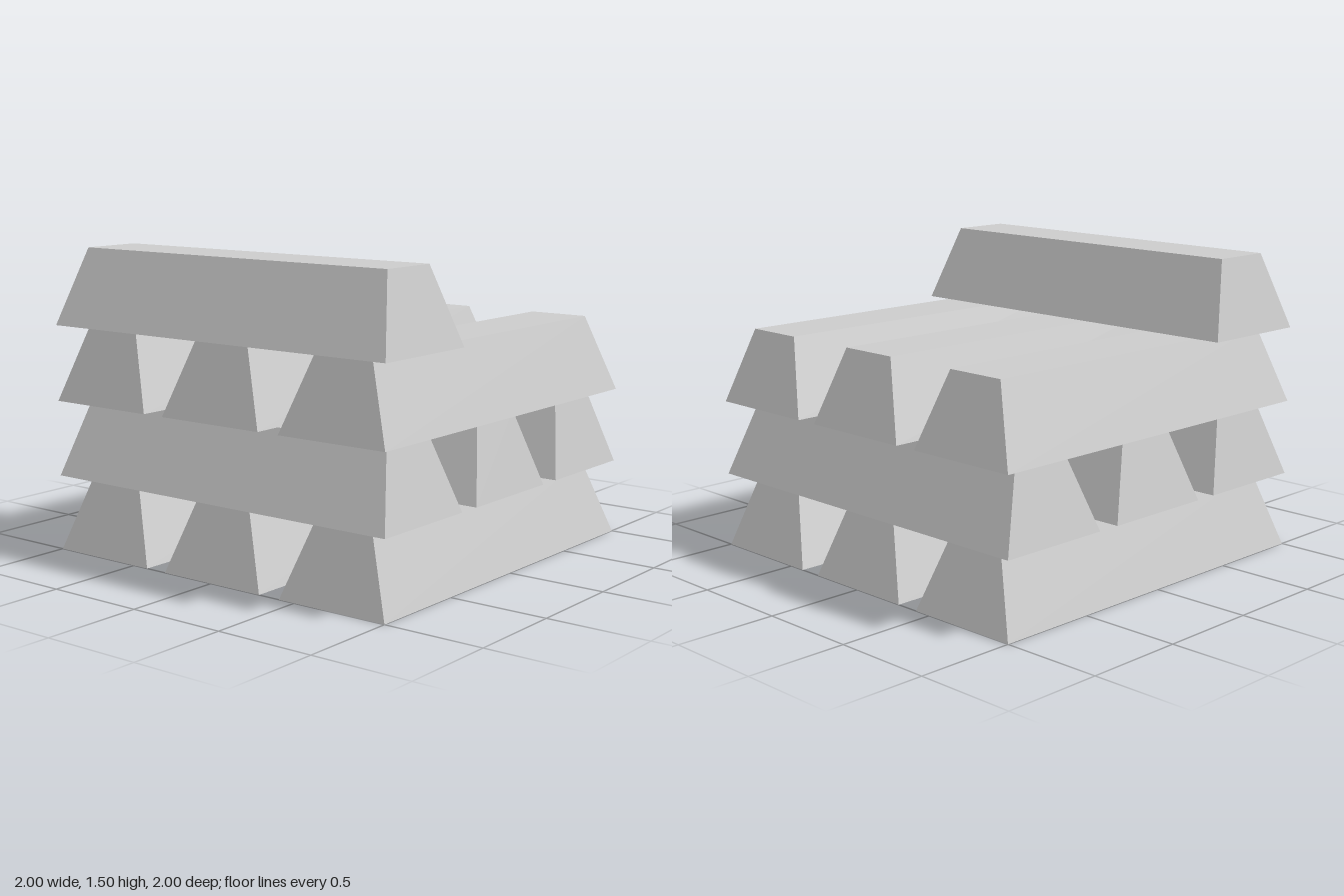
import * as THREE from 'three';

const LENGTH = 2, WIDTH = 0.588, HEIGHT = 0.376;
const TOP_LENGTH = 1.81, TOP_WIDTH = 0.31;
const SPACING = 0.706; // between neighbouring bars in a layer

// Tapered bar lying along x, standing on y = 0
function barGeometry() {
  const geometry = new THREE.BoxGeometry(LENGTH, HEIGHT, WIDTH);
  geometry.translate(0, HEIGHT / 2, 0);
  const p = geometry.attributes.position;
  for (let i = 0; i < p.count; i++) {
    if (p.getY(i) > HEIGHT / 2) {
      p.setX(i, Math.sign(p.getX(i)) * TOP_LENGTH / 2);
      p.setZ(i, Math.sign(p.getZ(i)) * TOP_WIDTH / 2);
    }
  }
  geometry.computeVertexNormals();
  return geometry;
}

export function createModel() {
  const model = new THREE.Group();
  model.name = 'ingotStack';
  const geometry = barGeometry();
  const material = new THREE.MeshStandardMaterial({ color: 0xcccccc, flatShading: true });

  // Layers alternate direction; the top one holds a single bar
  const layers = [[-1, 0, 1], [-1, 0, 1], [-1, 0, 1], [-1]];
  layers.forEach((slots, level) => {
    const layer = new THREE.Group();
    layer.name = `layer${level + 1}`;
    layer.position.y = level * HEIGHT;
    const alongZ = level % 2 === 1;
    slots.forEach((slot, i) => {
      const bar = new THREE.Mesh(geometry, material);
      bar.name = `ingot${i + 1}`;
      if (alongZ) {
        bar.rotation.y = Math.PI / 2;
        bar.position.x = slot * SPACING;
      } else {
        bar.position.z = slot * SPACING;
      }
      layer.add(bar);
    });
    model.add(layer);
  });
  return model;
}
